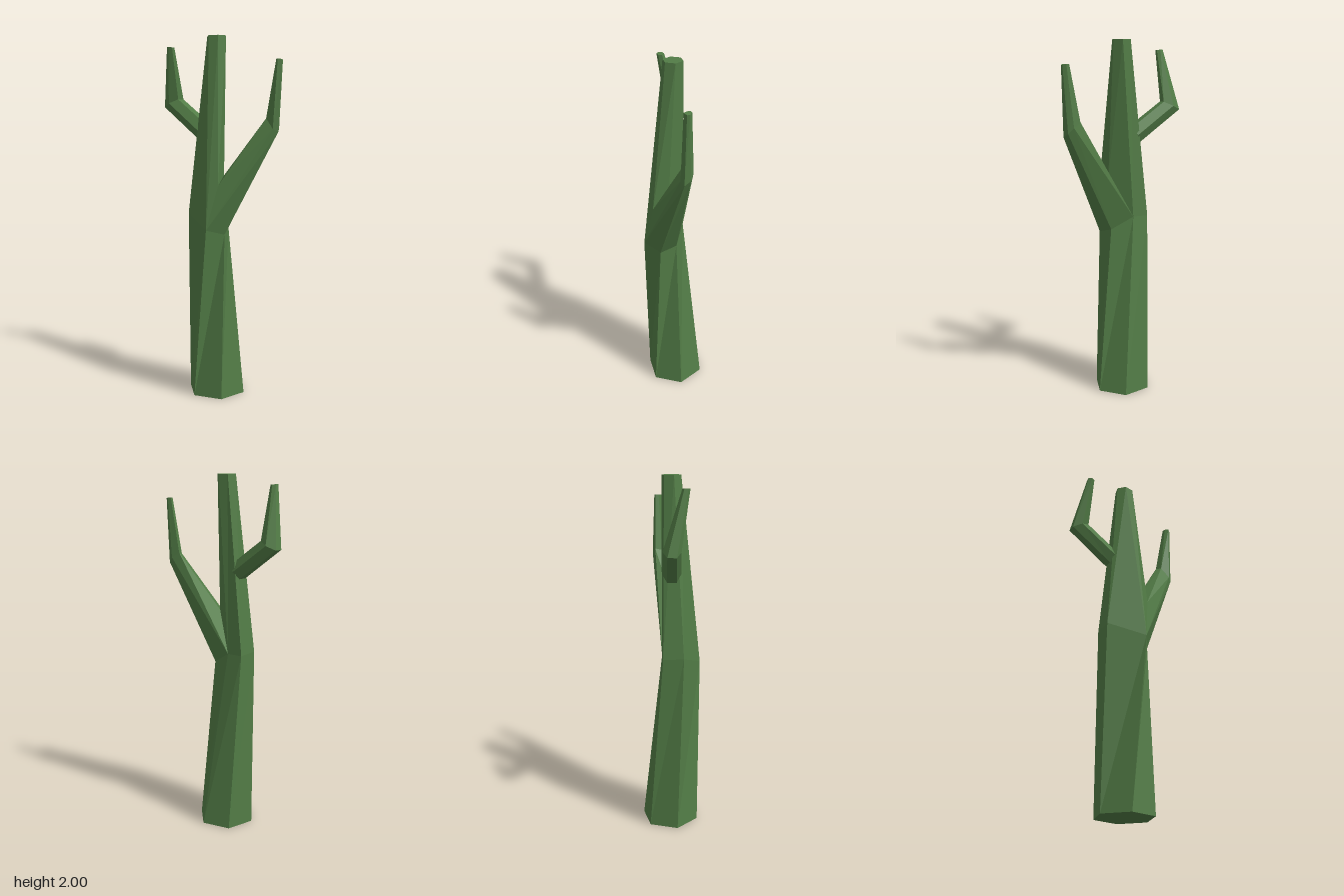
import * as THREE from 'three';

const V = (x, y, z) => new THREE.Vector3(x, y, z);

// Skin a list of six-sided rings (counterclockwise about the growth direction)
function loft(rings, capStart, capEnd) {
  const pos = [];
  const tri = (...pts) => pts.forEach((p) => pos.push(p.x, p.y, p.z));
  for (let r = 0; r < rings.length - 1; r++) {
    const lo = rings[r], hi = rings[r + 1];
    for (let i = 0; i < lo.length; i++) {
      const j = (i + 1) % lo.length;
      tri(lo[i], lo[j], hi[j]);
      tri(lo[i], hi[j], hi[i]);
    }
  }
  const first = rings[0], last = rings[rings.length - 1];
  for (let i = 1; i < first.length - 1; i++) {
    if (capStart) tri(first[0], first[i + 1], first[i]);
    if (capEnd) tri(last[0], last[i], last[i + 1]);
  }
  const geo = new THREE.BufferGeometry();
  geo.setAttribute('position', new THREE.Float32BufferAttribute(pos, 3));
  geo.computeVertexNormals();
  return geo;
}

// Level hexagon starting at the front corner
function levelHex(x, y, z, r) {
  return Array.from({ length: 6 }, (_, i) => {
    const a = (i * Math.PI) / 3;
    return V(x + r * Math.sin(a), y, z + r * Math.cos(a));
  });
}

// Hexagon across a direction, with one pair of corners along a side axis
function crossHex(c, dir, side, rSide, rUp) {
  const up = dir.clone().normalize().cross(side).normalize();
  return Array.from({ length: 6 }, (_, i) => {
    const a = (i * Math.PI) / 3;
    return c.clone().addScaledVector(side, rSide * Math.cos(a)).addScaledVector(up, rUp * Math.sin(a));
  });
}

export function createModel() {
  const group = new THREE.Group();
  const bark = new THREE.MeshStandardMaterial({ color: 0x527c46 });
  bark.name = 'green';
  const add = (name, geo) => {
    const mesh = new THREE.Mesh(geo, bark);
    mesh.name = name;
    group.add(mesh);
  };

  // Corners of the fork, shared by trunk and large branch
  const F = V(-0.012, 0.93, 0.152), R1 = V(0.025, 0.955, 0.065), R2 = V(-0.037, 1.025, -0.045);
  const B = V(-0.105, 1.025, -0.104), L2 = V(-0.187, 1.03, -0.025), L1 = V(-0.118, 0.96, 0.178);
  const C1 = V(-0.05, 1.2, 0.168), C2 = V(-0.005, 1.25, 0.094);

  // Trunk below and above the fork
  add('lowerTrunk', loft([levelHex(-0.035, 0, 0.025, 0.164), [F, R1, R2, B, L2, L1]], true, false));
  add('upperTrunk', loft([[C1, C2, R2, B, L2, L1], levelHex(-0.035, 2, 0.026, 0.054)], false, true));

  // Large branch: leans out, then bends upright
  const bend = [
    V(0.232, 1.505, 0.236), V(0.262, 1.49, 0.238), V(0.274, 1.51, 0.205),
    V(0.262, 1.54, 0.175), V(0.222, 1.57, 0.157), V(0.205, 1.56, 0.194),
  ];
  const tip = [
    V(0.254, 1.87, 0.238), V(0.277, 1.865, 0.238), V(0.285, 1.865, 0.226),
    V(0.279, 1.87, 0.206), V(0.262, 1.87, 0.198), V(0.252, 1.87, 0.214),
  ];
  add('largeBranch', loft([[L1, F, R1, R2, C2, C1], bend, tip], false, true));

  // Small branch: starts inside the trunk
  const side = V(1, 0, -1).normalize();
  const p0 = V(-0.095, 1.485, -0.028), p1 = V(-0.248, 1.64, -0.183), p2 = V(-0.272, 1.947, -0.108);
  const d1 = p1.clone().sub(p0).normalize(), d2 = p2.clone().sub(p1).normalize();
  add('smallBranch', loft([
    crossHex(p0, d1, side, 0.052, 0.055),
    crossHex(p1, d1.clone().add(d2), side, 0.048, 0.062),
    crossHex(p2, d2, side, 0.02, 0.021),
  ], true, true));

  return group;
}
